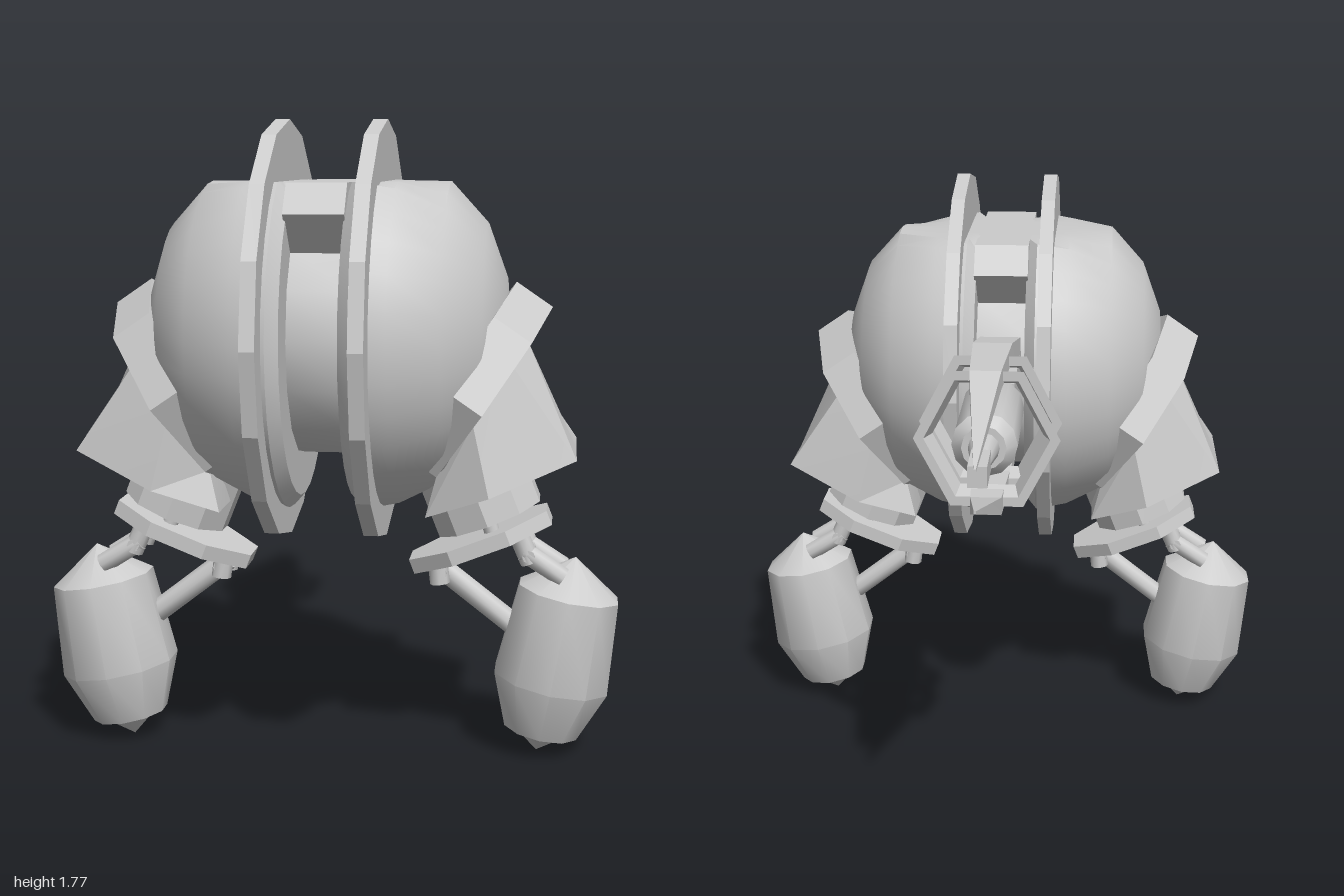
import * as THREE from 'three';
import { toCreasedNormals } from 'three/addons/utils/BufferGeometryUtils.js';

const material = new THREE.MeshStandardMaterial({ color: 0xcccccc });
const CY = 1.2, CZ = 0.425; // body centre

function add(parent, name, geometry, crease = 0.62) {
  const mesh = new THREE.Mesh(toCreasedNormals(geometry, crease), material);
  mesh.name = name;
  parent.add(mesh);
  return mesh;
}

// Skin over equal-length rings of [x, y, z], closed by a fan at both ends
function loft(rings) {
  const n = rings[0].length, pos = [], index = [];
  rings.forEach(r => r.forEach(p => pos.push(...p)));
  const centre = r => [0, 1, 2].map(k => r.reduce((s, p) => s + p[k], 0) / n);
  const last = rings.length - 1, c0 = n * rings.length, c1 = c0 + 1;
  pos.push(...centre(rings[0]), ...centre(rings[last]));
  for (let j = 0; j < n; j++) {
    const k = (j + 1) % n;
    for (let i = 0; i < last; i++) {
      const a = i * n + j, b = i * n + k;
      index.push(a, a + n, b, b, a + n, b + n);
    }
    index.push(c0, j, k, c1, last * n + k, last * n + j);
  }
  const g = new THREE.BufferGeometry();
  g.setAttribute('position', new THREE.Float32BufferAttribute(pos, 3));
  g.setIndex(index);
  return g;
}

function lathe(points, segments, phi = 0) {
  return new THREE.LatheGeometry(points.map(p => new THREE.Vector2(...p)), segments, phi);
}

function rod(parent, name, a, b, r) {
  const A = new THREE.Vector3(...a), B = new THREE.Vector3(...b);
  const m = add(parent, name, new THREE.CylinderGeometry(r, r, A.distanceTo(B), 8), 0.9);
  m.position.copy(A).add(B).multiplyScalar(0.5);
  m.quaternion.setFromUnitVectors(new THREE.Vector3(0, 1, 0), B.sub(A).normalize());
}

// Half of the round body, with a flat top, plus its large rim disc (towards +x)
function bodyHalf() {
  const g = new THREE.Group();
  const stations = [[0.075, 0.46], [0.105, 0.495], [0.2, 0.475], [0.33, 0.41], [0.43, 0.3], [0.485, 0.15], [0.495, 0.01]];
  const rings = stations.map(([x, r]) => Array.from({ length: 32 }, (_, i) => {
    const a = i / 32 * Math.PI * 2;
    return [x, Math.min(CY + r * Math.sin(a), 1.61), r * Math.cos(a)];
  }));
  add(g, 'bodyShell', loft(rings));
  const disc = add(g, 'rimDisc', new THREE.CylinderGeometry(0.577, 0.577, 0.04, 16), 0.2);
  disc.rotation.z = Math.PI / 2;
  disc.position.set(0.135, CY, 0);
  return g;
}

// Leg towards +x, centred on z = 0
function leg() {
  const g = new THREE.Group();
  const tilt = 0.376;

  const collar = add(g, 'hipCollar', new THREE.CylinderGeometry(0.35, 0.35, 0.12, 8), 0.2);
  collar.scale.x = 0.88;
  collar.rotation.z = 0.97;
  collar.position.set(0.385, 1.05, 0);

  // Shroud: half outlines in (along, across), mirrored across z
  const section = (cx, cy, dx, dy, half) => {
    const back = half.slice(1, -1).reverse().map(([u, w]) => [u, -w]);
    return [...half, ...back].map(([u, w]) => [cx + dx * u, cy + dy * u, -w]);
  };
  add(g, 'legShroud', loft([
    section(0.43, 1.015, 0.55, 0.83, [[0.2, 0], [0.14, 0.2], [-0.04, 0.27], [-0.22, 0.2], [-0.25, 0]]),
    section(0.48, 0.8, 0.93, 0.37, [[0.215, 0], [0.215, 0.2], [-0.03, 0.29], [-0.215, 0.22], [-0.215, 0]]),
  ]), 0.3);

  const ankle = add(g, 'ankle', new THREE.CylinderGeometry(0.155, 0.155, 0.18, 10));
  ankle.rotation.z = tilt;
  ankle.position.set(0.412, 0.768, 0);

  const plate = add(g, 'anklePlate', new THREE.CylinderGeometry(0.22, 0.22, 0.042, 8, 1, false, Math.PI / 8), 0.3);
  plate.scale.z = 0.68;
  plate.rotation.z = tilt;
  plate.position.set(0.42, 0.62, 0);

  // Linkage between plate and foot
  for (const s of [-1, 1]) {
    rod(g, 'platePin', [0.435, 0.71, s * 0.06], [0.46, 0.63, s * 0.06], 0.022);
    rod(g, 'upperLink', [0.525, 0.65, s * 0.065], [0.56, 0.57, s * 0.065], 0.028);
    rod(g, 'lowerLink', [0.54, 0.6, s * 0.065], [0.65, 0.53, s * 0.065], 0.028);
    rod(g, 'strutHinge', [0.3, 0.58, s * 0.05], [0.31, 0.5, s * 0.05], 0.028);
  }
  rod(g, 'hingePin', [0.555, 0.59, -0.09], [0.555, 0.59, 0.09], 0.018);
  rod(g, 'strutPin', [0.31, 0.53, -0.07], [0.31, 0.53, 0.07], 0.02);
  rod(g, 'longStrut', [0.3, 0.54, 0], [0.52, 0.37, 0], 0.032);

  const foot = add(g, 'foot', lathe([[0, -0.212], [0.078, -0.15], [0.107, -0.15], [0.167, 0], [0.145, 0.26], [0, 0.36]], 10), 0.64);
  foot.rotation.z = -0.18;
  foot.position.set(0.62, 0.22, 0);
  return g;
}

// Rear boom with barrel, prongs and hoops
function tail() {
  const g = new THREE.Group();
  g.name = 'tail';
  const box = (name, w, h, d, y, z) => add(g, name, new THREE.BoxGeometry(w, h, d)).position.set(0, y, z);
  box('boom', 0.12, 0.14, 0.38, 1.23, -0.1);
  box('muzzle', 0.05, 0.056, 0.14, 1.23, -0.84);

  const barrel = add(g, 'barrel', lathe([[0, 0.25], [0.06, 0.25], [0.088, 0.29], [0.088, 0.64], [0.06, 0.67],
    [0.042, 0.67], [0.026, 0.79], [0, 0.79]], 12));
  barrel.rotation.x = -Math.PI / 2;
  barrel.position.y = 1.23;

  const prong = [[0.05, 0.06, 1.29, 1.35], [-0.3, 0.055, 1.37, 1.42], [-0.6, 0.042, 1.37, 1.42], [-0.99, 0.003, 1.27, 1.278]];
  for (const up of [true, false]) {
    add(g, up ? 'upperProng' : 'lowerProng', loft(prong.map(([z, w, a, b]) => {
      const [lo, hi] = up ? [a, b] : [2.44 - b, 2.44 - a];
      return [[w, lo, z], [w, hi, z], [-w, hi, z], [-w, lo, z]];
    })), 0.1);
  }
  for (const z of [-0.35, -0.51]) {
    const hoop = add(g, 'hoop', lathe([[0.15, 0], [0.178, 0], [0.198, 0.052], [0.17, 0.052], [0.15, 0]], 6, Math.PI / 6), 0.1);
    hoop.rotation.x = -Math.PI / 2;
    hoop.scale.z = 1.1;
    hoop.position.set(0, 1.22, z);
  }
  return g;
}

export function createModel() {
  const model = new THREE.Group();

  // Every half is symmetric front to back, so a half turn mirrors it
  for (const [side, turn] of [['left', 0], ['right', Math.PI]]) {
    for (const [name, build] of [['Body', bodyHalf], ['Leg', leg]]) {
      const part = build();
      part.name = side + name;
      part.position.z = CZ;
      part.rotation.y = turn;
      model.add(part);
    }
  }

  // Core wheel in the slot, and the bridge closing the slot on top
  const core = add(model, 'core', new THREE.CylinderGeometry(0.345, 0.345, 0.16, 16), 0.5);
  core.rotation.z = Math.PI / 2;
  core.position.set(0, CY, CZ);

  const profile = [[0.29, 1.61], [0.355, 1.53], [0.25, 1.42], [-0.25, 1.42], [-0.355, 1.53], [-0.29, 1.61]];
  const bridge = add(model, 'topBridge', loft([0.08, -0.08].map(x => profile.map(([z, y]) => [x, y, CZ + z]))), 0.2);
  bridge.updateMatrix();

  model.add(tail());
  return model;
}
